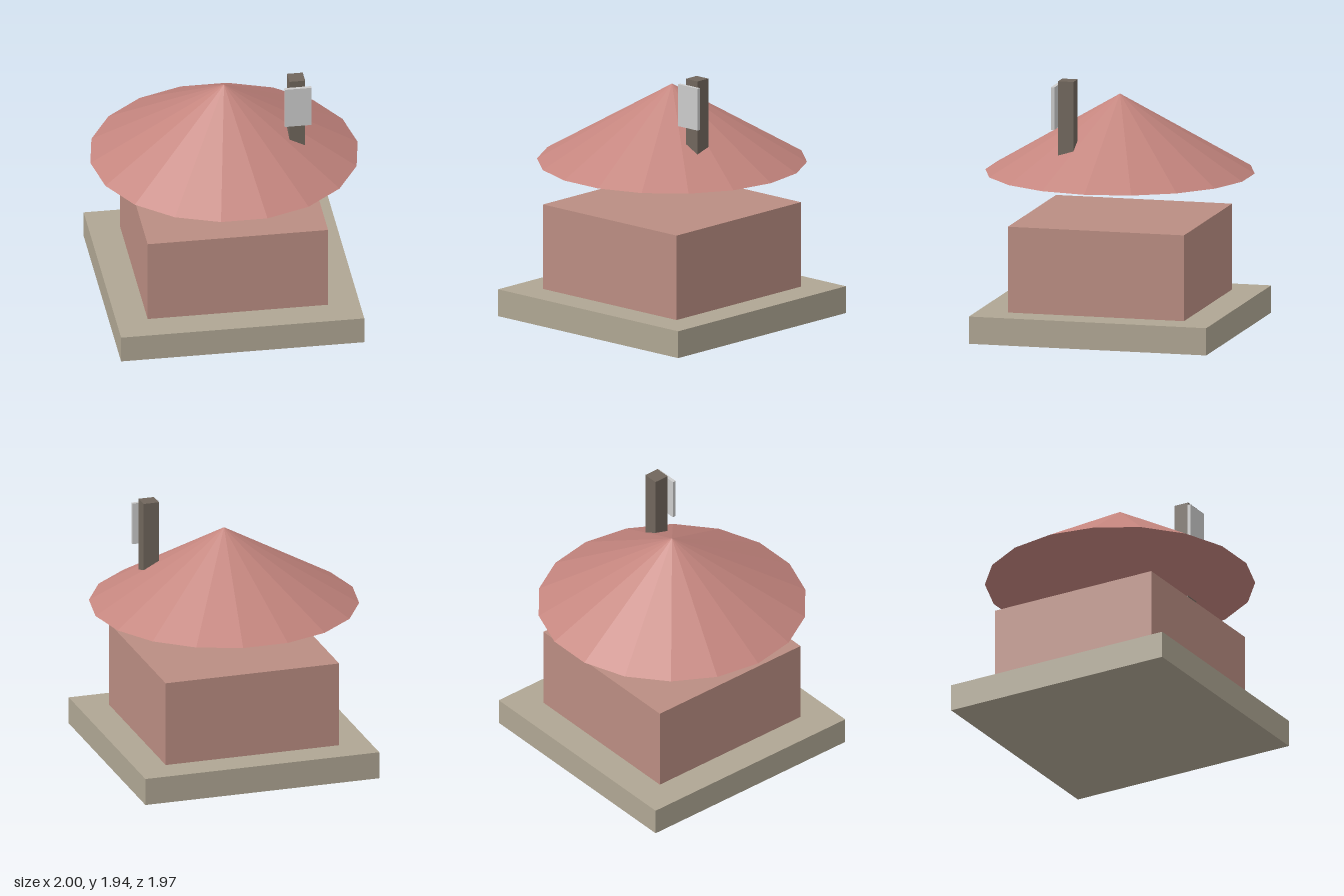
import * as THREE from 'three';

export function createModel() {
  const model = new THREE.Group();

  const add = (name, geometry, color, x, y, z) => {
    const material = new THREE.MeshStandardMaterial({ color, flatShading: true });
    const mesh = new THREE.Mesh(geometry, material);
    mesh.name = name;
    mesh.position.set(x, y, z);
    model.add(mesh);
    return mesh;
  };

  // Box given by its size, centre x/z and bottom height
  const box = (name, color, [w, h, d], [x, bottom, z]) =>
    add(name, new THREE.BoxGeometry(w, h, d), color, x, bottom + h / 2, z);

  box('foundation', 0xafa693, [1.82, 0.205, 1.82], [0, 0, 0]);
  box('walls', 0xba8d82, [1.35, 0.645, 1.35], [0, 0.205, 0]);

  // Eighteen-sided roof floating above the walls, corners on the x axis
  const roof = add('roof', new THREE.ConeGeometry(1, 0.585, 18), 0xc4857e, 0, 1.18 + 0.585 / 2, 0);
  roof.rotation.y = Math.PI / 2;

  // Chimney runs through the roof, with a thin plate in front of it
  box('chimney', 0x70665c, [0.118, 0.82, 0.118], [0.499, 1.12, 0.264]);
  box('chimneyPlate', 0xcccccc, [0.2, 0.32, 0.026], [0.5, 1.58, 0.353]);

  return model;
}
